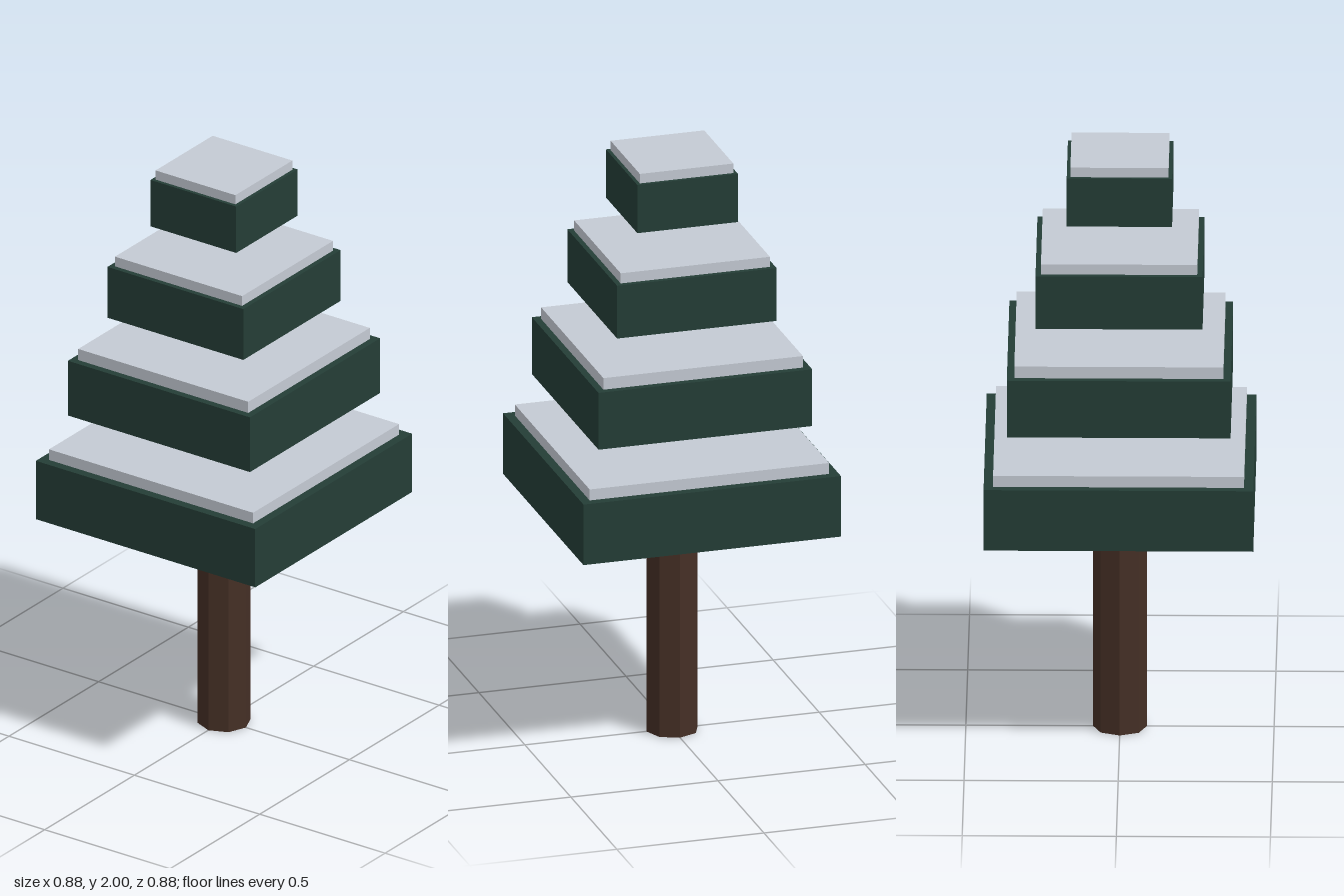
import * as THREE from 'three';

export function createModel() {
  const model = new THREE.Group();
  model.name = 'snowyTree';

  const material = (name, color) => {
    const m = new THREE.MeshStandardMaterial({ color });
    m.name = name;
    return m;
  };
  const bark = material('bark brown', 0x452f25);
  const needles = material('pine green', 0x243d36);
  const snow = material('snow grey', 0xc4cad3);
  bark.flatShading = true;

  const add = (name, geometry, mat, y) => {
    const mesh = new THREE.Mesh(geometry, mat);
    mesh.name = name;
    mesh.position.y = y;
    model.add(mesh);
  };

  // Square slab resting between two heights
  const slab = (name, half, bottom, top, mat) =>
    add(name, new THREE.BoxGeometry(half * 2, top - bottom, half * 2), mat, (bottom + top) / 2);

  // Eight-sided trunk
  const trunkHeight = 0.775;
  add('trunk', new THREE.CylinderGeometry(0.0875, 0.0875, trunkHeight, 8), bark, trunkHeight / 2);

  // Floating tiers: foliage half width, bottom, top, snow half width, snow top
  const tiers = [
    [0.4375, 0.775, 0.985, 0.407, 1.023],
    [0.363, 1.14, 1.337, 0.339, 1.377],
    [0.271, 1.482, 1.665, 0.2535, 1.7],
    [0.171, 1.8, 1.967, 0.159, 2],
  ];
  tiers.forEach(([half, bottom, top, snowHalf, snowTop], i) => {
    slab(`foliageTier${i + 1}`, half, bottom, top, needles);
    slab(`snowCap${i + 1}`, snowHalf, top, snowTop, snow);
  });

  return model;
}
